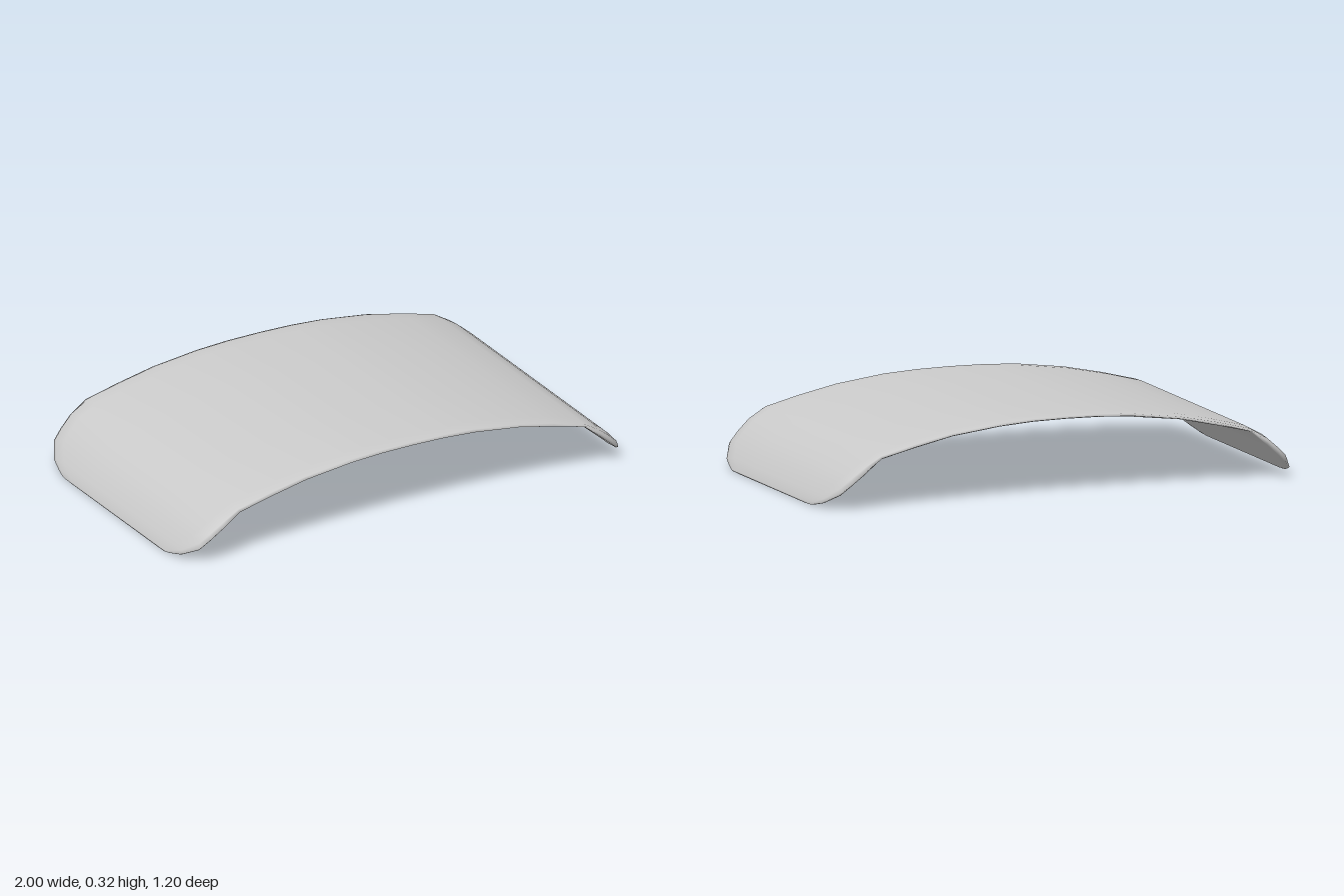
import * as THREE from 'three';

// Half profile of the arched panel: x, top height, underside height, half depth
const HALF = [
  [0, 0.318, 0.302, 0.6],
  [0.14, 0.316, 0.3, 0.6],
  [0.28, 0.309, 0.29, 0.6],
  [0.48, 0.283, 0.266, 0.6],
  [0.64, 0.25, 0.23, 0.6],
  [0.78, 0.214, 0.196, 0.6],
  [0.85, 0.176, 0.134, 0.6],
  [0.9, 0.135, 0.09, 0.588],
  [0.94, 0.098, 0.054, 0.572],
  [0.98, 0.045, 0.018, 0.5],
  [0.993, 0.022, 0.005, 0.44],
  [1, 0.008, 0.002, 0.4],
];

// Closed cross-section across the depth, with a softly rounded rim
function section([x, top, under, w]) {
  const mid = (top + under) / 2, t = (top - under) / 2;
  const side = [[w, 0], [w - 0.015, 0.65], [w - 0.075, 1], [w * 0.4, 1]];
  const upper = [...side, ...side.slice().reverse().map(([z, k]) => [-z, k])];
  const lower = upper.slice(1, -1).reverse().map(([z, k]) => [z, -k]);
  return [...upper, ...lower].map(([z, k]) => [x, mid + k * t, z]);
}

function panelGeometry() {
  const stations = [
    ...HALF.slice(1).reverse().map(([x, ...rest]) => [-x, ...rest]),
    ...HALF,
  ];
  const loops = stations.map(section);
  const n = loops[0].length, last = loops.length - 1;
  const index = [];
  for (let i = 0; i < last; i++) {
    for (let j = 0; j < n; j++) {
      const k = (j + 1) % n;
      const a = i * n + j, b = i * n + k, c = a + n, d = b + n;
      index.push(a, c, b, b, c, d);
    }
  }
  // Close the two narrow ends
  for (let j = 1; j < n - 1; j++) {
    index.push(0, j, j + 1);
    index.push(last * n, last * n + j + 1, last * n + j);
  }
  const geometry = new THREE.BufferGeometry();
  geometry.setAttribute('position', new THREE.Float32BufferAttribute(loops.flat(2), 3));
  geometry.setIndex(index);
  geometry.computeVertexNormals();
  return geometry;
}

export function createModel() {
  const group = new THREE.Group();
  group.name = 'archedPanel';
  const material = new THREE.MeshStandardMaterial({ color: 0xcccccc, side: THREE.DoubleSide });
  const panel = new THREE.Mesh(panelGeometry(), material);
  panel.name = 'curvedShell';
  group.add(panel);
  return group;
}
